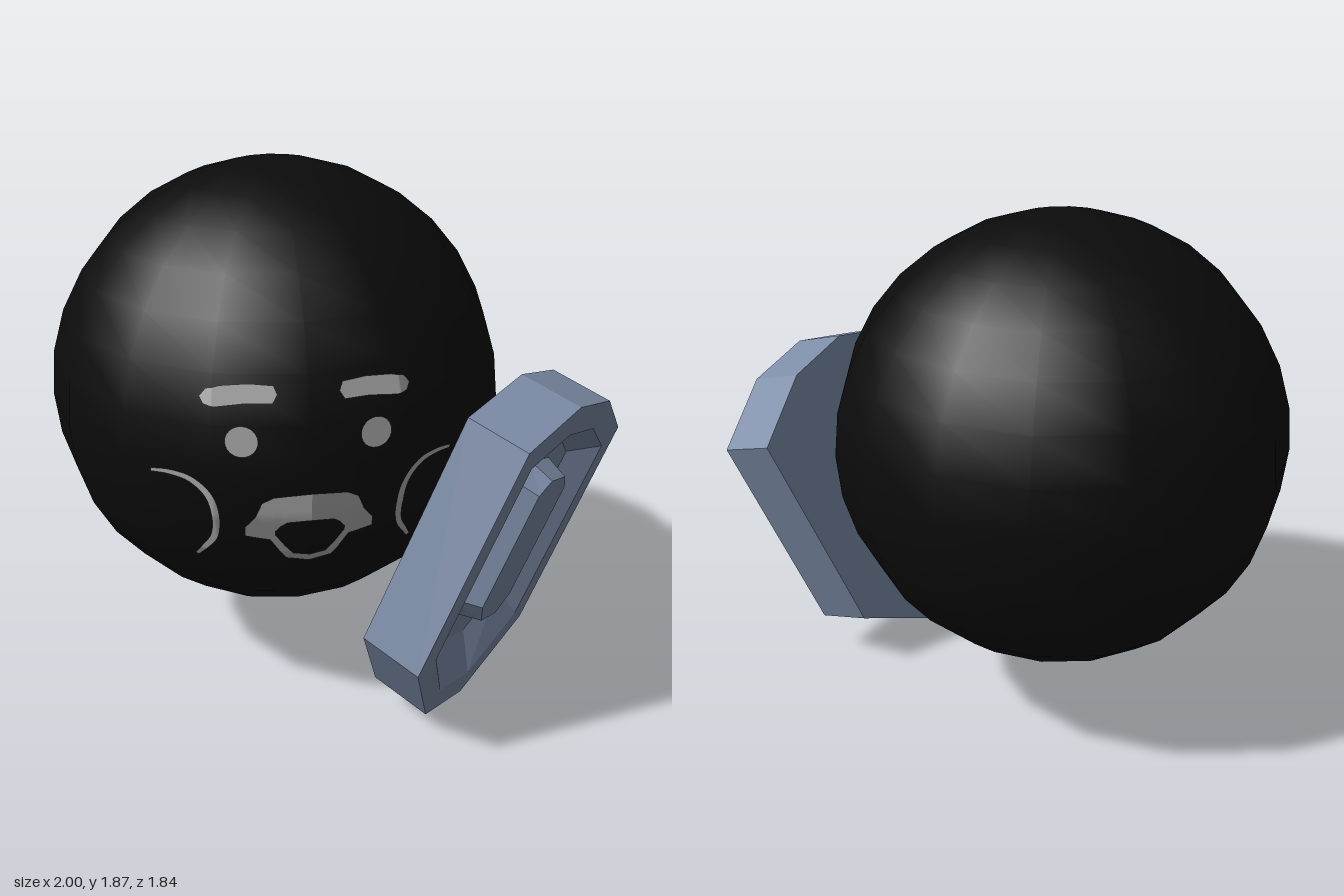
import * as THREE from 'three';

const mat = (name, color, side = THREE.FrontSide) => {
  const m = new THREE.MeshStandardMaterial({ color, side });
  m.name = name;
  return m;
};

const CX = -0.185, UNIT = 186.5; // face centre line, drawing units per model unit

// Stretched octagon: half width a, half flat m, side ends lo/hi, tips loM/hiM, depth z
const ring = (a, m, lo, hi, loM, hiM, z) =>
  [[-a, lo], [-m, loM], [m, loM], [a, lo], [a, hi], [m, hiM], [-m, hiM], [-a, hi]]
    .map(([x, y]) => new THREE.Vector3(x, y - 0.8, z));

// Skin between successive rings, optionally capped, with hard facets
function loft(rings, capStart, capEnd) {
  const pos = [];
  const tri = (...v) => v.forEach(p => pos.push(p.x, p.y, p.z));
  for (let r = 0; r + 1 < rings.length; r++) {
    const A = rings[r], B = rings[r + 1];
    for (let i = 0; i < 8; i++) {
      const j = (i + 1) % 8;
      tri(A[i], A[j], B[j]);
      tri(A[i], B[j], B[i]);
    }
  }
  const last = rings[rings.length - 1];
  for (let i = 1; i < 7; i++) {
    if (capStart) tri(rings[0][0], rings[0][i + 1], rings[0][i]);
    if (capEnd) tri(last[0], last[i], last[i + 1]);
  }
  const g = new THREE.BufferGeometry();
  g.setAttribute('position', new THREE.Float32BufferAttribute(pos, 3));
  g.computeVertexNormals();
  return g;
}

// Point at fraction t along a list of points
function along(list, t) {
  const f = t * (list.length - 1), i = Math.min(Math.floor(f), list.length - 2), k = f - i;
  return [0, 1].map(c => list[i][c] * (1 - k) + list[i + 1][c] * k);
}

// Flat band between two outlines, given as [offset from face centre, height]
function band(a, b, side) {
  const g = new THREE.PlaneGeometry(1, 1, 60, 5), p = g.attributes.position;
  for (let i = 0; i < p.count; i++) {
    const A = along(a, p.getX(i) + 0.5), B = along(b, p.getX(i) + 0.5), k = p.getY(i) + 0.5;
    p.setXYZ(i, CX + side * (A[0] + (B[0] - A[0]) * k) / UNIT,
      (398 - (A[1] + (B[1] - A[1]) * k)) / UNIT, 0);
  }
  return g;
}

// Tapered stroke along a smooth curve
function stroke(points, width, side) {
  const curve = new THREE.CatmullRomCurve3(points.map(([x, y]) => new THREE.Vector3(x, y, 0)));
  const a = [], b = [];
  for (let i = 0; i <= 30; i++) {
    const t = i / 30, p = curve.getPoint(t), d = curve.getTangent(t);
    const w = width * (0.25 + 0.25 * Math.sin(Math.PI * t));
    a.push([p.x - d.y * w, p.y + d.x * w]);
    b.push([p.x + d.y * w, p.y - d.x * w]);
  }
  return band(a, b, side);
}

export function createModel() {
  const model = new THREE.Group();
  const black = mat('black body', 0x0b0b0b);
  const grey = mat('grey markings', 0xb0b0b0, THREE.DoubleSide);
  const steel = mat('blue grey shield', 0x7d8da8);

  // Ball body
  const ball = new THREE.Mesh(new THREE.SphereGeometry(0.815, 16, 16), black);
  ball.name = 'body';
  ball.position.set(CX, 1.05, -0.11);
  ball.updateMatrixWorld(true);
  model.add(ball);

  // Face markings, pressed onto the front of the ball
  const ray = new THREE.Raycaster(), back = new THREE.Vector3(0, 0, -1);
  const marking = (name, g) => {
    const p = g.attributes.position;
    for (let i = 0; i < p.count; i++) {
      ray.set(new THREE.Vector3(p.getX(i) + 1e-5, p.getY(i) + 1e-5, 3), back);
      const hit = ray.intersectObject(ball)[0];
      p.setZ(i, (hit ? hit.point.z : 0) + 0.006);
    }
    g.computeVertexNormals();
    const mesh = new THREE.Mesh(g, grey);
    mesh.name = name;
    model.add(mesh);
  };
  const browTop = [[62, 157], [58, 152], [50, 150], [34, 149], [20, 150], [18, 155]];
  const browLow = [[62, 157], [60, 161], [54, 162], [36, 160], [21, 160], [18, 155]];
  const cheek = [[92, 207], [82, 206], [70, 208], [60, 217], [56, 232], [57, 248], [63, 260], [67, 268]];
  const muzzleOut = [[0, 215], [22, 218], [29, 222], [33, 232], [39, 240], [39, 247],
    [30, 249], [24, 250], [19, 258], [14, 266], [0, 268]];
  const muzzleIn = [[0, 234], [14, 236], [18, 239], [20, 242], [21, 243], [21, 244],
    [21, 246], [19, 249], [15, 255], [10, 261], [0, 262]];
  for (const side of [1, -1]) {
    const label = side > 0 ? 'left' : 'right';
    marking(label + 'Brow', band(browTop, browLow, side));
    marking(label + 'Cheek', stroke(cheek, 4.5, side));
    marking(label + 'Muzzle', band(muzzleOut, muzzleIn, side));
    marking(label + 'Eye', new THREE.CircleGeometry(0.051, 24).translate(CX + side * 0.213, 1.158, 0));
  }

  // Shield, turned outward and tilted
  const shield = new THREE.Group();
  shield.name = 'shield';
  shield.position.set(0.552, 0.638, 0.6075);
  shield.rotation.set(0, Math.PI / 4, -0.392, 'ZYX');
  model.add(shield);

  // Thick plate with a sloped recess
  const plate = new THREE.Mesh(loft([
    ring(0.43, 0.143, 0.41, 1.247, 0.15, 1.38, -0.225),
    ring(0.43, 0.143, 0.41, 1.247, 0.15, 1.38, 0),
    ring(0.335, 0.115, 0.45, 1.18, 0.246, 1.275, 0),
    ring(0.25, 0.1, 0.54, 1.12, 0.385, 1.195, -0.083),
  ], true, true), steel);
  plate.name = 'shieldPlate';

  // Raised boss in the recess
  const boss = new THREE.Mesh(loft([
    ring(0.158, 0.075, 0.585, 1.06, 0.505, 1.12, -0.085),
    ring(0.12, 0.06, 0.6, 1.045, 0.53, 1.095, 0.003),
  ], false, true), steel);
  boss.name = 'shieldBoss';
  shield.add(plate, boss);

  return model;
}
